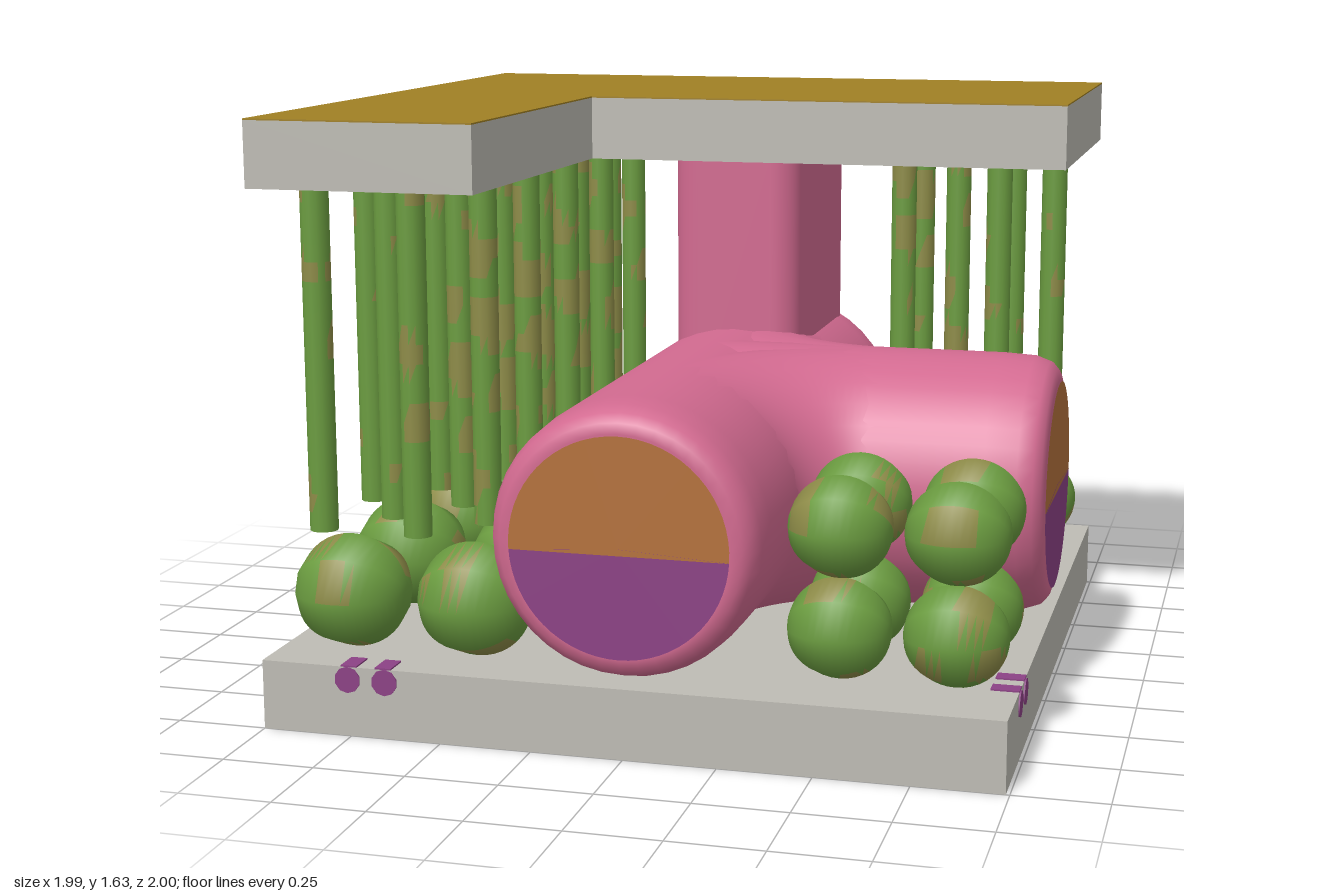
import * as THREE from 'three';
import { RoundedBoxGeometry } from 'three/addons/geometries/RoundedBoxGeometry.js';

const paint = (name, color, side = THREE.FrontSide) => {
  const m = new THREE.MeshStandardMaterial({ color, side });
  m.name = name;
  return m;
};

export function createModel() {
  const grey = paint('slab grey', 0xbebcb4);
  const gold = paint('cut face gold', 0xa08024);
  const pink = paint('pipe pink', 0xd26a90);
  const orange = paint('core orange', 0xb4713c);
  const purple = paint('core purple', 0x8c4285);
  const green = paint('bead green', 0x6b9c40);
  const tan = paint('mottle tan', 0x8e8c48);

  const model = new THREE.Group();
  model.name = 'layeredBlock';
  const add = (name, geometry, material, parent = model) => {
    const mesh = new THREE.Mesh(geometry, material);
    mesh.name = name;
    parent.add(mesh);
    return mesh;
  };
  const group = (name) => {
    const g = new THREE.Group();
    g.name = name;
    model.add(g);
    return g;
  };

  // Lower slab, gold underneath
  const W = 1.99, CX = -0.005;
  add('lowerSlab', new THREE.BoxGeometry(W, 0.19, 2), [grey, grey, grey, gold, grey, grey])
    .position.set(CX, 0.095, 0);

  // Upper slab with a cut-out corner and a gold top
  const outline = [[-1, -1], [-0.38, -1], [-0.38, 0], [0.99, 0], [0.99, 1], [-1, 1]];
  const shape = new THREE.Shape(outline.map(([x, y]) => new THREE.Vector2(x, y)));
  const layer = (name, y, depth, material) => {
    const g = new THREE.ExtrudeGeometry(shape, { depth, bevelEnabled: false });
    g.rotateX(-Math.PI / 2);
    add(name, g, material).position.y = y;
  };
  layer('upperSlab', 1.45, 0.176, grey);
  layer('upperSlabTop', 1.626, 0.004, gold);

  // Branching pipe: rounded open arms, blended by quarter bends
  const pipe = group('pipe');
  const PX = -0.01, PY = 0.562;
  const rim = [[0.365, 0.16], [0.36, 0.07], [0.345, 0.028], [0.322, 0.008], [0.295, 0], [0, 0]];
  const tube = (from, to, roundStart) => {
    const end = rim.map(([r, d]) => new THREE.Vector2(r, to - d));
    const start = roundStart
      ? rim.map(([r, d]) => new THREE.Vector2(r, from + d)).reverse()
      : [new THREE.Vector2(0.365, from)];
    return new THREE.LatheGeometry([...start, ...end], 40);
  };
  add('longArm', tube(-0.99, 0.992, true).rotateX(Math.PI / 2), pink, pipe).position.set(PX, PY, 0);
  add('sideArm', tube(0, 0.987, false).rotateZ(-Math.PI / 2), pink, pipe).position.set(0, PY, 0);
  for (const s of [1, -1]) {
    const bend = new THREE.TorusGeometry(0.53, 0.364, 32, 20, Math.PI / 2);
    bend.rotateZ(s > 0 ? Math.PI : Math.PI / 2).rotateX(Math.PI / 2);
    add('bend', bend, pink, pipe).position.set(0.53 + PX, PY, s * 0.53);
  }
  add('upperBranch', new RoundedBoxGeometry(0.38, 0.92, 0.74, 5, 0.08), pink, pipe)
    .position.set(-0.012, 1.06, -0.59);

  // Two-coloured core on each open end
  const core = (x, z, turn) => {
    const g = group('pipeCore');
    const tilt = 0.06;
    add('upperCore', new THREE.CircleGeometry(0.293, 32, -tilt, Math.PI + 2 * tilt), orange, g);
    add('lowerCore', new THREE.CircleGeometry(0.293, 32, Math.PI + tilt, Math.PI - 2 * tilt), purple, g);
    // Wedge filling the upper part down to the dividing line
    const wedge = new THREE.Shape([[0, 0], [-0.2925, -0.0176], [0.2925, -0.0176]]
      .map(([a, b]) => new THREE.Vector2(a, b)));
    add('coreDivider', new THREE.ShapeGeometry(wedge), orange, g).position.z = 0.001;
    g.position.set(x, PY - 0.003, z);
    g.rotation.y = turn;
  };
  core(PX, 0.996, 0);
  core(PX, -0.994, Math.PI);
  core(0.991, 0, Math.PI / 2);

  // Sorts faces into green and tan blotches by a smooth wave pattern
  const mottle = (geometry, x, y, z) => {
    const p = geometry.attributes.position, idx = geometry.index.array;
    const plain = [], spots = [];
    for (let i = 0; i < idx.length; i += 3) {
      const tri = [idx[i], idx[i + 1], idx[i + 2]];
      const mid = (get) => tri.reduce((sum, v) => sum + get(v), 0) / 3;
      const a = x + mid((v) => p.getX(v)), b = y + mid((v) => p.getY(v)), c = z + mid((v) => p.getZ(v));
      const wave = Math.sin(a * 33 + b * 9) + Math.sin(b * 31 + c * 8) + Math.sin(c * 35 + a * 11);
      (wave > 1.05 ? spots : plain).push(...tri);
    }
    geometry.setIndex([...plain, ...spots]);
    geometry.clearGroups();
    geometry.addGroup(0, plain.length, 0);
    geometry.addGroup(plain.length, spots.length, 1);
    return geometry;
  };

  // Beads: eight-sided round the x axis
  const beads = group('beads');
  const bead = (r, x, y, z) => {
    const g = new THREE.SphereGeometry(r, 8, 20).rotateZ(Math.PI / 2);
    // Turn so that a corner points straight up
    add('bead', mottle(g, x, y, z), [green, tan], beads).position.set(x, y, z);
  };
  for (const x of [0.52, 0.825]) {
    for (const z of [0.49, 0.765]) for (const y of [0.325, 0.595]) bead(0.137, x, y, z);
    for (const z of [-0.53, -0.805]) bead(0.137, x, 0.325, z);
  }
  for (const x of [-0.8, -0.45])
    for (let i = -2; i <= 2; i++) bead(0.157, x, 0.355, i * 0.42);

  // Hanging stalks in a staggered grid
  const stalks = group('stalks');
  const stalkField = (xs, z0, rows, parity) => {
    for (let j = 0; j < rows; j++) xs.forEach((x, i) => {
      if ((i + j) % 2 !== parity) return;
      const z = z0 + j * 0.175;
      const g = new THREE.CylinderGeometry(0.038, 0.038, 0.93, 12, 18);
      add('stalk', mottle(g, x, 0.995, z), [green, tan], stalks).position.set(x, 0.995, z);
    });
  };
  stalkField([-0.86, -0.727, -0.593, -0.46], -0.865, 11, 0);
  stalkField([0.45, 0.59, 0.74, 0.885], -0.862, 3, 0);

  // Small purple specks wrapped over the lower slab edge
  const speck = (x, z, turn) => {
    const g = group('specks');
    for (const s of [-1, 1]) {
      const face = add('sideSpeck', new THREE.CylinderGeometry(0.036, 0.036, 0.004, 10), purple, g);
      face.rotation.x = Math.PI / 2;
      face.position.set(s * 0.052, 0.155, 0.002);
      add('topSpeck', new THREE.BoxGeometry(0.045, 0.004, 0.075), purple, g)
        .position.set(s * 0.048, 0.192, -0.037);
    }
    g.position.set(x, 0, z);
    g.rotation.y = turn;
  };
  speck(-0.705, 1, 0);
  speck(0.99, 0.7, Math.PI / 2);

  return model;
}
